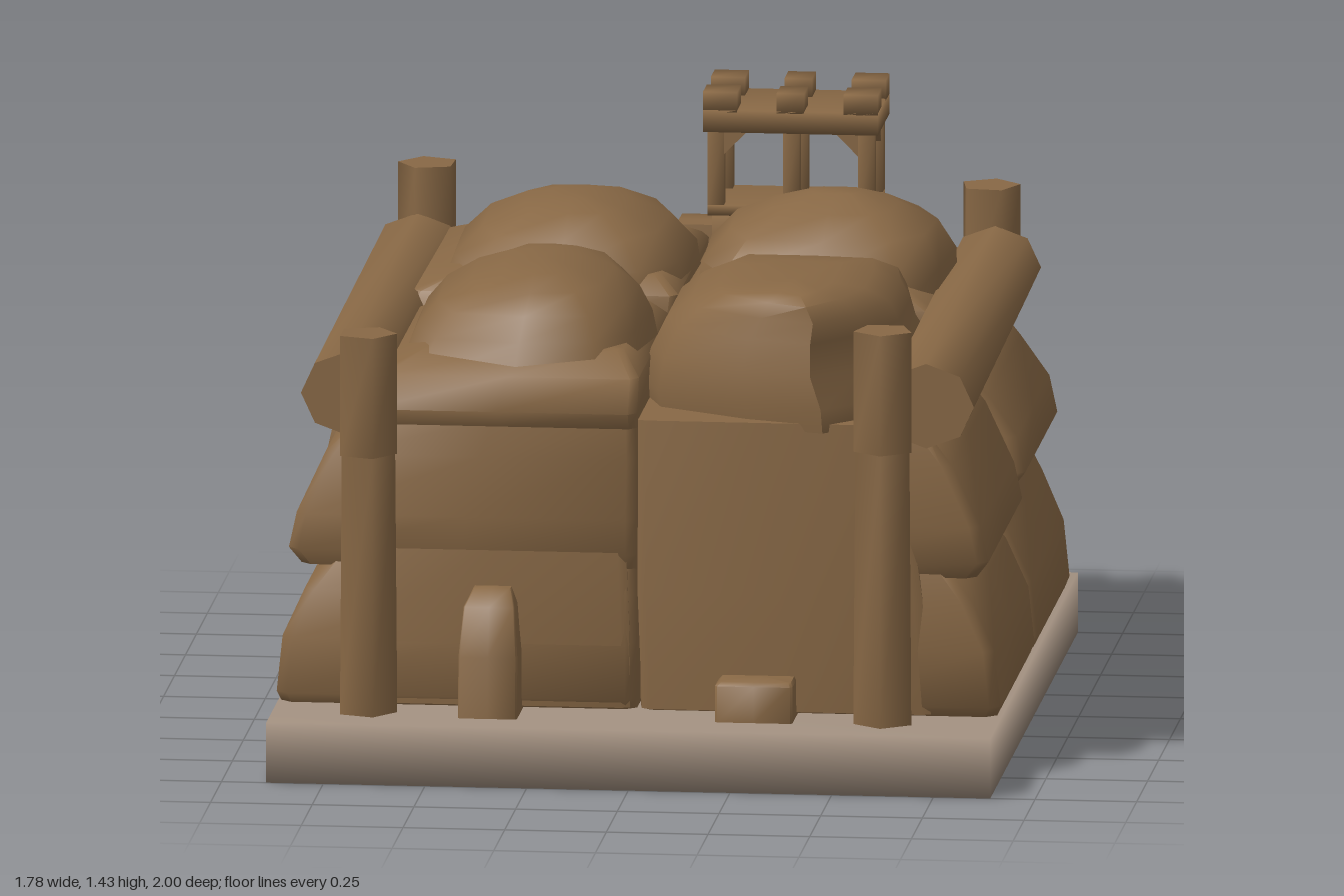
import * as THREE from 'three';
import { toCreasedNormals, mergeVertices } from 'three/addons/utils/BufferGeometryUtils.js';

const stoneMat = new THREE.MeshStandardMaterial({ color: 0x886845 });
stoneMat.name = 'brown stone';
const slabMat = new THREE.MeshStandardMaterial({ color: 0xa39181 });
slabMat.name = 'pale slab';

// Outlines in the unit square, counterclockwise seen from above, as [x, z]
const BLOCK = [[1, 0.94], [1, 0], [1, -0.94], [0.94, -1], [0, -1], [-0.94, -1],
  [-1, -0.94], [-1, 0], [-1, 0.94], [-0.94, 1], [0, 1], [0.94, 1]];
const BOULDER = [[0.95, 0.5], [1, -0.3], [0.75, -0.9], [0.1, -1], [-0.6, -0.95],
  [-1, -0.55], [-0.97, 0.4], [-0.75, 0.9], [0, 1], [0.65, 0.92]];
const POINTED = [[1, 0.2], [1, -0.5], [0.9, -0.95], [0.1, -1], [-0.8, -1],
  [-1, -0.7], [-1, 0.2], [-0.85, 0.55], [-0.2, 0.85], [0.35, 1], [0.75, 0.65]];

// Stacks an outline through layers [y, x0, x1, z0, z1] and caps both ends
function stoneGeometry(outline, layers) {
  const pos = [], idx = [], n = outline.length;
  for (const [y, x0, x1, z0, z1] of layers)
    for (const [u, v] of outline)
      pos.push(x0 + (x1 - x0) * (u + 1) / 2, y, z0 + (z1 - z0) * (v + 1) / 2);
  for (const [y, x0, x1, z0, z1] of [layers[0], layers[layers.length - 1]])
    pos.push((x0 + x1) / 2, y, (z0 + z1) / 2);
  const m = layers.length, low = n * m, high = low + 1;
  for (let j = 0; j < n; j++) {
    const k = (j + 1) % n;
    for (let i = 0; i < m - 1; i++) {
      const a = i * n + j, b = i * n + k, c = b + n, d = a + n;
      idx.push(a, b, c, a, c, d);
    }
    idx.push(low, k, j, high, (m - 1) * n + j, (m - 1) * n + k);
  }
  const g = new THREE.BufferGeometry();
  g.setAttribute('position', new THREE.Float32BufferAttribute(pos, 3));
  g.setIndex(idx);
  return toCreasedNormals(g, 1);
}

// Shares every corner so the shading runs smoothly around it
function smooth(geo) {
  geo.deleteAttribute('uv');
  geo.deleteAttribute('normal');
  const merged = mergeVertices(geo, 1e-4);
  merged.computeVertexNormals();
  return merged;
}

export function createModel() {
  const group = new THREE.Group();
  const add = (name, geo, x = 0, y = 0, z = 0, mat = stoneMat) => {
    const mesh = new THREE.Mesh(geo, mat);
    mesh.name = name;
    mesh.position.set(x, y, z);
    group.add(mesh);
    return mesh;
  };
  const stone = (name, outline, layers) => add(name, stoneGeometry(outline, layers));
  const box = (name, x0, x1, y0, y1, z0, z1, mat) =>
    add(name, smooth(new THREE.BoxGeometry(x1 - x0, y1 - y0, z1 - z0)),
      (x0 + x1) / 2, (y0 + y1) / 2, (z0 + z1) / 2, mat);

  // Ground slab
  box('groundSlab', -0.89, 0.89, 0, 0.15, -1, 1, slabMat);

  // Wall blocks: two courses in each quarter, leaning in on the outer side
  for (const sx of [-1, 1]) {
    for (const front of [true, false]) {
      const layer = (y, out, zOut, gap = 0.005) => {
        const xs = sx > 0 ? [gap, out] : [-out, -gap];
        return front ? [y, ...xs, -0.04 + gap, zOut] : [y, ...xs, -zOut, -0.05 - gap];
      };
      const dz = front ? 0 : 0.05;
      const mid = front ? 0.51 : 0.56;
      stone('lowerWallBlock', BLOCK, [
        layer(0.155, 0.88, 0.77 + dz), layer(0.18, 0.89, 0.785 + dz),
        layer(0.32, 0.875, 0.79 + dz), layer(0.44, 0.82, 0.785 + dz * 1.5),
        layer(mid + 0.02, 0.75, 0.77 + dz * 1.5, 0.01)]);
      stone('upperWallBlock', BLOCK, [
        layer(mid - 0.01, 0.83, 0.77 + dz), layer(mid + 0.03, 0.86, 0.785 + dz),
        layer(mid + 0.12, 0.84, 0.79 + dz), layer(0.78, 0.77, 0.785 + dz),
        layer(0.87, 0.7, 0.775 + dz, 0.01)]);
    }
  }

  // Tall facing stones that close the courses at the front
  stone('frontLeftFacing', BLOCK, [[0.16, 0.01, 0.72, 0.5, 0.785], [0.45, 0, 0.7, 0.5, 0.795],
    [0.88, 0, 0.64, 0.5, 0.785]]);
  stone('frontRightFacing', BLOCK, [[0.16, -0.72, -0.02, 0.5, 0.78], [0.35, -0.7, -0.02, 0.5, 0.792],
    [0.56, -0.66, -0.03, 0.5, 0.785]]);

  // Roof skirts with a lobe on each quarter
  stone('frontRightRoofSkirt', BLOCK, [[0.86, -0.68, 0, -0.03, 0.8], [0.9, -0.69, 0, -0.03, 0.82],
    [0.98, -0.64, 0, -0.02, 0.78], [1.03, -0.54, -0.05, 0.05, 0.66]]);
  stone('frontRightRoofBoulder', BOULDER, [
    [0.96, -0.62, 0, 0, 0.76], [1.05, -0.58, -0.02, 0.02, 0.71],
    [1.11, -0.53, -0.05, 0.05, 0.68], [1.16, -0.45, -0.11, 0.1, 0.64],
    [1.19, -0.37, -0.19, 0.18, 0.55], [1.2, -0.32, -0.24, 0.25, 0.48]]);
  stone('frontLeftRoofBoulder', POINTED, [
    [0.86, -0.01, 0.68, -0.03, 0.8], [0.92, -0.02, 0.68, -0.03, 0.81],
    [1.0, 0, 0.63, -0.01, 0.8], [1.08, 0.04, 0.61, 0.02, 0.79],
    [1.13, 0.1, 0.59, 0.07, 0.785], [1.17, 0.17, 0.53, 0.16, 0.78],
    [1.19, 0.26, 0.46, 0.32, 0.74]]);
  stone('backRightRoofSkirt', BLOCK, [[0.86, -0.7, 0, -0.85, -0.03], [0.92, -0.7, 0, -0.86, -0.02],
    [1.02, -0.64, 0.01, -0.81, -0.03], [1.06, -0.54, -0.04, -0.7, -0.1]]);
  stone('backRightRoofBoulder', BOULDER, [
    [1.0, -0.6, 0.02, -0.74, -0.02], [1.07, -0.57, 0.01, -0.72, -0.04],
    [1.14, -0.5, -0.05, -0.65, -0.09], [1.19, -0.4, -0.15, -0.53, -0.18],
    [1.21, -0.33, -0.23, -0.43, -0.26]]);
  stone('backLeftRoofSkirt', BLOCK, [[0.86, 0, 0.7, -0.83, -0.03], [0.93, 0, 0.7, -0.83, -0.02],
    [1.0, 0.01, 0.64, -0.78, -0.01], [1.05, 0.06, 0.56, -0.68, -0.06]]);
  stone('backLeftRoofBoulder', BOULDER, [
    [0.97, 0.02, 0.65, -0.74, 0], [1.07, 0.04, 0.65, -0.69, -0.03],
    [1.15, 0.11, 0.61, -0.58, -0.09], [1.2, 0.21, 0.52, -0.47, -0.18],
    [1.235, 0.31, 0.43, -0.36, -0.27]]);

  // Rounded beams along both eaves, rising a little to the back
  for (const s of [-1, 1]) {
    const geo = new THREE.CylinderGeometry(0.11, 0.115, 1.58, 8, 1);
    geo.rotateX(-Math.PI / 2).scale(1.02, 0.92, 1);
    const beam = add('eaveBeam', toCreasedNormals(geo, 0.9), s * 0.71, 0.943, 0);
    beam.rotation.x = 0.014;
  }

  // Five-sided corner posts: [x, z, bottom, top, facing]
  for (const [x, z, y0, y1, turn] of [[-0.66, 0.84, 0.15, 1.095, 0.3], [0.61, 0.84, 0.15, 1.13, 0],
    [-0.69, -0.85, 0.15, 1.17, 0.9], [0.69, -0.85, 0.85, 1.145, 0.5]]) {
    const head = Math.max(y0, y1 - 0.3);
    const part = (name, r0, r1, a, b) => {
      const geo = new THREE.CylinderGeometry(r1, r0, b - a, 5);
      add(name, toCreasedNormals(geo, 1.3), x, (a + b) / 2, z).rotation.y = turn;
    };
    part('postHead', 0.075, 0.075, head, y1);
    if (y0 < head) part('postShaft', 0.075, 0.07, y0, head);
  }

  // Door stone and step at the front
  stone('doorStone', BLOCK, [[0.15, -0.43, -0.285, 0.7, 0.9], [0.3, -0.43, -0.285, 0.7, 0.89],
    [0.42, -0.42, -0.295, 0.7, 0.86], [0.46, -0.4, -0.31, 0.7, 0.82]]);
  stone('frontStep', BLOCK, [[0.15, 0.2, 0.39, 0.7, 0.88], [0.24, 0.2, 0.39, 0.7, 0.88],
    [0.25, 0.21, 0.385, 0.7, 0.87]]);

  // Chimney breast with a rounded head, and small stones beside it
  stone('chimneyBreast', BLOCK, [[0.15, -0.08, 0.41, -0.91, -0.7], [0.6, -0.08, 0.41, -0.9, -0.7],
    [0.9, -0.07, 0.41, -0.89, -0.7]]);
  stone('chimneyHead', BLOCK, [[0.86, -0.07, 0.41, -0.9, -0.75], [0.9, -0.085, 0.42, -0.93, -0.75],
    [1.0, -0.085, 0.42, -0.93, -0.75], [1.05, -0.07, 0.4, -0.88, -0.75]]);
  stone('backPot', BOULDER, [[0.15, -0.31, -0.12, -0.91, -0.75], [0.4, -0.32, -0.11, -0.91, -0.75],
    [0.46, -0.27, -0.15, -0.89, -0.78]]);
  stone('backPotLid', BLOCK, [[0.45, -0.26, -0.15, -0.9, -0.78], [0.54, -0.26, -0.15, -0.9, -0.78]]);
  stone('backButtress', BLOCK, [[0.15, -0.54, -0.32, -0.88, -0.75], [0.38, -0.54, -0.32, -0.88, -0.75],
    [0.46, -0.48, -0.34, -0.85, -0.75]]);
  stone('backStep', BLOCK, [[0.15, -0.5, -0.33, -0.92, -0.8], [0.22, -0.5, -0.33, -0.92, -0.8]]);

  // Small open tower: plinth, six legs, braces, deck and merlons
  const cx = 0.235, cz = -0.655;
  box('towerPlinth', 0.04, 0.43, 0.95, 1.13, -0.77, -0.54);
  box('towerPlinthTop', 0.03, 0.44, 1.12, 1.145, -0.78, -0.53);
  box('towerDeck', 0.02, 0.45, 1.33, 1.385, -0.79, -0.52);
  for (const sz of [-1, 1]) {
    for (const sx of [-1, 0, 1]) {
      const lx = cx + sx * 0.185, lz = cz + sz * 0.1;
      box('towerLeg', lx - 0.02, lx + 0.02, 1.14, 1.335, lz - 0.02, lz + 0.02);
      const mx = cx + sx * 0.173, h = sx ? 0.042 : 0.034;
      box('merlon', mx - h, mx + h, 1.38, 1.43, cz + sz * 0.09 - 0.045, cz + sz * 0.09 + 0.045);
      if (sx) {
        const brace = new THREE.Shape([[0, 0], [-sx * 0.06, 0], [0, -0.06]]
          .map(([x, y]) => new THREE.Vector2(x, y)));
        const make = () => new THREE.ExtrudeGeometry(brace, { depth: 0.03, bevelEnabled: false });
        add('archBrace', make(), lx - sx * 0.02, 1.332, lz - 0.015);
        const turn = sx * sz;
        const side = add('sideArchBrace', make(), lx + turn * 0.015, 1.332, lz - sz * 0.02);
        side.rotation.y = -turn * Math.PI / 2;
      }
    }
  }
  return group;
}
